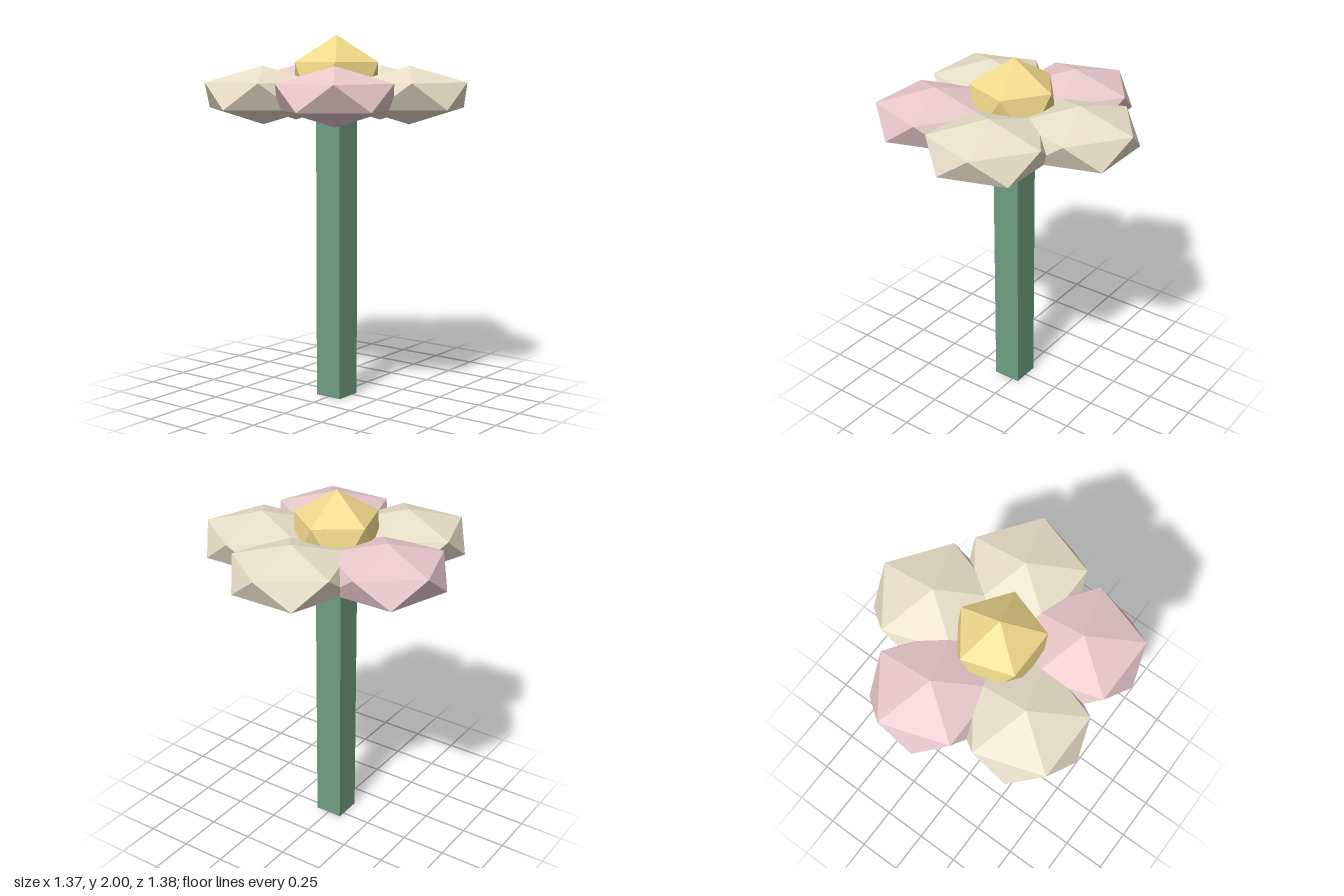
import * as THREE from 'three';

const AXIS_X = -0.04; // stem and flower axis

// Icosahedron standing on a vertex, with one upper-ring vertex towards +x
function pointedIcosahedron(radius, squash = 1) {
  const golden = (1 + Math.sqrt(5)) / 2;
  return new THREE.IcosahedronGeometry(radius, 0)
    .rotateZ(-Math.atan2(1, golden))
    .scale(1, squash, 1);
}

function material(color) {
  return new THREE.MeshStandardMaterial({ color, flatShading: true });
}

export function createModel() {
  const flower = new THREE.Group();
  flower.name = 'flower';

  const add = (name, geometry, mat, x, y, z) => {
    const mesh = new THREE.Mesh(geometry, mat);
    mesh.name = name;
    mesh.position.set(x, y, z);
    flower.add(mesh);
  };

  // Square stem, its top hidden inside the flower centre
  add('stem', new THREE.BoxGeometry(0.16, 1.62, 0.16), material(0x6f9f80), AXIS_X, 0.81, 0);

  // Flower centre
  add('flowerCentre', pointedIcosahedron(0.263), material(0xf0d88a), AXIS_X, 1.737, 0);

  // Five flattened petals around the centre
  const cream = material(0xe8dec8);
  const pink = material(0xe8c8cb);
  const petalMaterials = [cream, cream, pink, cream, pink];
  const petalGeometry = pointedIcosahedron(0.352, 0.442);
  petalMaterials.forEach((mat, i) => {
    const a = (i / 5) * Math.PI * 2;
    add(`petal${i + 1}`, petalGeometry, mat, AXIS_X + 0.41 * Math.cos(a), 1.68, 0.41 * Math.sin(a));
  });

  return flower;
}
